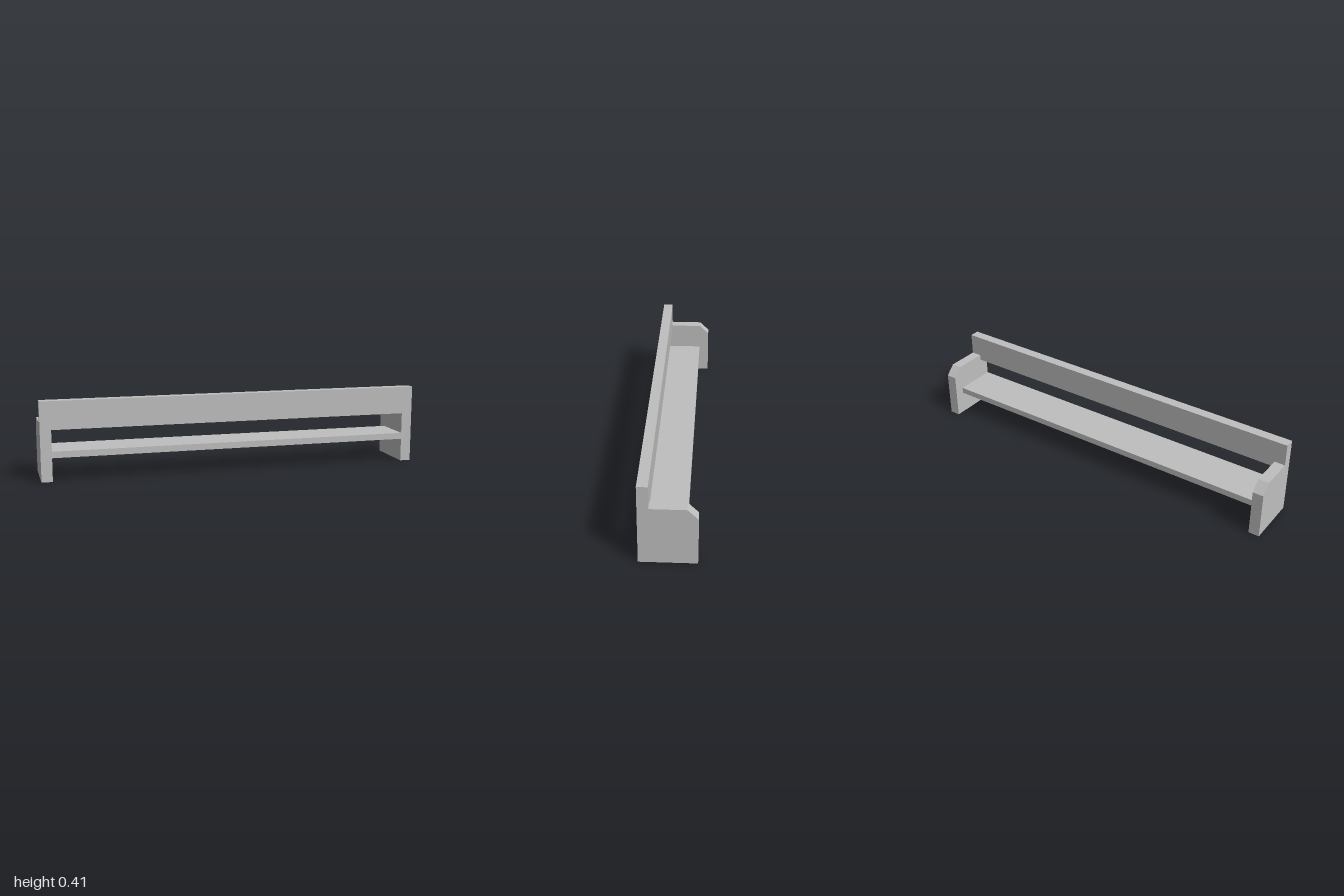
import * as THREE from 'three';

export function createModel() {
  const group = new THREE.Group();
  group.name = 'wallShelf';
  const grey = new THREE.MeshStandardMaterial({ color: 0xbfbfbf });
  grey.name = 'light grey';

  const T = 0.056;          // end panel thickness
  const FRONT = 0.137;      // front plane
  const RAIL_BACK = 0.085;  // rear face of the front rail

  // End panels: side profile (z, y) with a tall front post and chamfered rear corner
  const profile = new THREE.Shape([
    [FRONT, 0], [FRONT, 0.408], [RAIL_BACK, 0.408], [RAIL_BACK, 0.293],
    [-0.088, 0.293], [-FRONT, 0.244], [-FRONT, 0],
  ].map(([z, y]) => new THREE.Vector2(-z, y)));
  for (const [name, x] of [['rightEndPanel', -1], ['leftEndPanel', 1 - T]]) {
    const geo = new THREE.ExtrudeGeometry(profile, { depth: T, bevelEnabled: false });
    geo.rotateY(Math.PI / 2); // shape x becomes -z, depth becomes +x
    const panel = new THREE.Mesh(geo, grey);
    panel.position.x = x;
    panel.name = name;
    group.add(panel);
  }

  // Boards spanning between the end panels
  const board = (name, y0, y1, z0, z1) => {
    const mesh = new THREE.Mesh(new THREE.BoxGeometry(2 - 2 * T, y1 - y0, z1 - z0), grey);
    mesh.position.set(0, (y0 + y1) / 2, (z0 + z1) / 2);
    mesh.name = name;
    group.add(mesh);
  };
  board('frontRail', 0.263, 0.408, RAIL_BACK, FRONT);
  board('shelf', 0.121, 0.154, -0.085, FRONT);

  return group;
}
